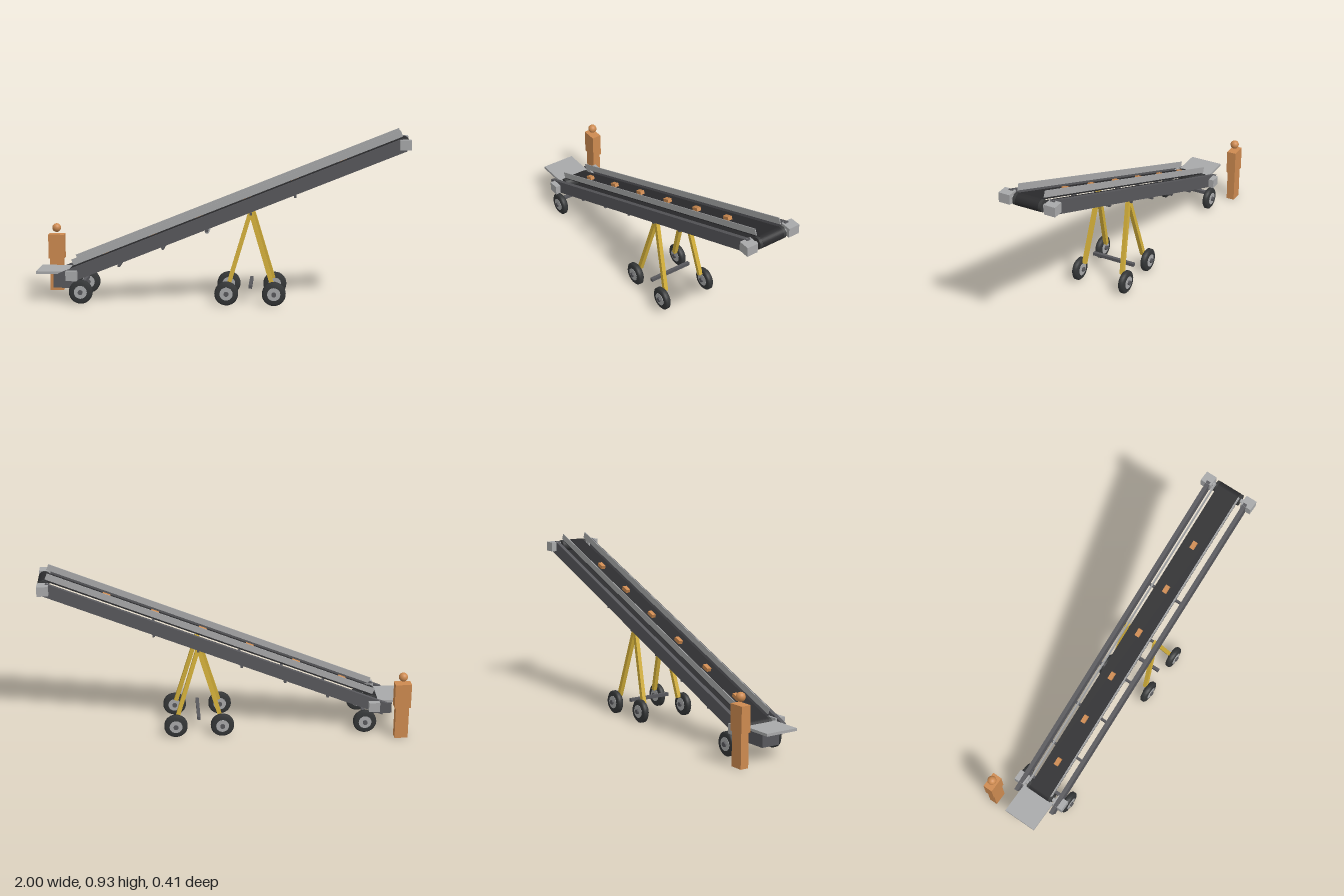
import * as THREE from 'three';

const CZ = 0.033; // centre line of the conveyor in z
const HEAD = new THREE.Vector2(0.965, 0.861);
const TAIL = new THREE.Vector2(-0.80, 0.149);

function material(name, color) {
  const m = new THREE.MeshStandardMaterial({ color });
  m.name = name;
  return m;
}

export function createModel() {
  const root = new THREE.Group();
  root.name = 'inclinedConveyor';
  const steel = material('darkSteel', 0x58585c);
  const light = material('lightSteel', 0xa8a9aa);
  const beltMat = material('beltRubber', 0x2c2c2e);
  const rollerMat = material('rollerRubber', 0x3a3b3c);
  const tyreMat = material('tyreRubber', 0x343637);
  const yellow = material('yellowPaint', 0xd4b03a);
  const orange = material('orange', 0xcd8a50);

  function add(parent, name, geometry, mat, x, y, z) {
    const mesh = new THREE.Mesh(geometry, mat);
    mesh.name = name;
    mesh.position.set(x, y, z);
    parent.add(mesh);
    return mesh;
  }
  const box = (parent, name, mat, w, h, d, x, y, z) =>
    add(parent, name, new THREE.BoxGeometry(w, h, d), mat, x, y, z);
  // Cylinder lying along z
  const rod = (parent, name, mat, r, len, x, y, z, sides = 24) =>
    add(parent, name, new THREE.CylinderGeometry(r, r, len, sides).rotateX(Math.PI / 2), mat, x, y, z);

  // Sloping frame: local x runs up the conveyor
  const frame = new THREE.Group();
  frame.name = 'slopingFrame';
  const mid = HEAD.clone().add(TAIL).multiplyScalar(0.5);
  frame.position.set(mid.x, mid.y, CZ);
  frame.rotation.z = HEAD.clone().sub(TAIL).angle();
  root.add(frame);
  const half = HEAD.distanceTo(TAIL) / 2;

  for (const s of [1, -1]) {
    box(frame, 'sideBeam', steel, 1.968, 0.07, 0.022, -0.035, 0, s * 0.116);
    box(frame, 'skirtBoard', light, 1.89, 0.034, 0.004, 0.012, 0.057, s * 0.0735);
  }

  // Belt: closed loop around both end rollers
  const loop = (path, r) => {
    path.absarc(half, 0, r, -Math.PI / 2, Math.PI / 2, false);
    path.absarc(-half, 0, r, Math.PI / 2, Math.PI * 1.5, false);
    path.closePath();
    return path;
  };
  const beltShape = loop(new THREE.Shape(), 0.0318);
  beltShape.holes.push(loop(new THREE.Path(), 0.027));
  const beltGeo = new THREE.ExtrudeGeometry(beltShape, { depth: 0.126, bevelEnabled: false, curveSegments: 16 });
  add(frame, 'belt', beltGeo, beltMat, 0, 0, -0.063);

  // Parcels riding on the belt
  for (let i = 0; i < 6; i++)
    box(frame, 'parcel', orange, 0.044, 0.02, 0.024, -0.757 + i * 0.275, 0.041, 0);

  // End rollers, shafts and bearing housings
  for (const p of [HEAD, TAIL]) {
    rod(root, 'endRoller', rollerMat, 0.031, 0.158, p.x, p.y, CZ, 32);
    rod(root, 'rollerShaft', light, 0.012, 0.21, p.x, p.y, CZ);
    for (const s of [1, -1])
      box(root, 'bearingHousing', light, 0.06, 0.052, 0.062, p.x, p.y, CZ + s * 0.126);
  }

  // Cross members below the frame, and the return roller
  for (let i = 0; i < 5; i++)
    box(root, 'crossMember', steel, 0.013, 0.013, 0.232, -0.547 + i * 0.235, 0.203 + i * 0.095, CZ);
  rod(root, 'returnRoller', light, 0.012, 0.126, -0.078, 0.383, CZ);

  // Loading end: chute box and feed table
  box(root, 'chuteBox', steel, 0.11, 0.088, 0.106, -0.858, 0.109, CZ);
  box(root, 'feedTable', light, 0.18, 0.014, 0.19, -0.91, 0.156, CZ);

  // Wheel: chamfered tyre with a pale disc and a protruding hub
  const tyreProfile = [[0.02, -0.017], [0.054, -0.017], [0.0635, -0.009],
    [0.0635, 0.009], [0.054, 0.017], [0.02, 0.017]].map(([r, y]) => new THREE.Vector2(r, y));
  function addWheel(x, z) {
    const wheel = new THREE.Group();
    wheel.name = 'wheel';
    wheel.position.set(x, 0.0635, z);
    const tyre = new THREE.LatheGeometry(tyreProfile, 28).rotateX(Math.PI / 2);
    add(wheel, 'tyre', tyre, tyreMat, 0, 0, 0);
    rod(wheel, 'wheelDisc', light, 0.035, 0.038, 0, 0, 0);
    rod(wheel, 'hub', steel, 0.013, 0.056, 0, 0, 0, 16);
    root.add(wheel);
  }
  for (const s of [1, -1])
    for (const x of [-0.75, 0.03, 0.283]) addWheel(x, CZ + s * 0.142);

  // Yellow A-frame legs
  function addLeg(top, bottom) {
    const dir = top.clone().sub(bottom);
    const c = top.clone().add(bottom).multiplyScalar(0.5);
    const leg = box(root, 'supportLeg', yellow, 0.022, dir.length(), 0.022, c.x, c.y, c.z);
    leg.quaternion.setFromUnitVectors(new THREE.Vector3(0, 1, 0), dir.normalize());
  }
  for (const s of [1, -1])
    for (const e of [1, -1])
      addLeg(new THREE.Vector3(0.157, 0.497, CZ + s * 0.091),
        new THREE.Vector3(0.157 + e * 0.118, 0.1, CZ + s * 0.116));

  // Tie bar between the legs, and the tail axle
  box(root, 'legTieBar', steel, 0.018, 0.018, 0.25, 0.157, 0.096, CZ);
  box(root, 'tailAxle', steel, 0.018, 0.018, 0.25, -0.75, 0.095, CZ);

  // Operator beside the loading end
  const operator = new THREE.Group();
  operator.name = 'operator';
  operator.position.set(-0.938, 0, -0.178);
  root.add(operator);
  box(operator, 'legs', orange, 0.072, 0.18, 0.046, 0, 0.09, 0);
  box(operator, 'torso', orange, 0.088, 0.136, 0.054, 0, 0.248, 0);
  add(operator, 'head', new THREE.SphereGeometry(0.0245, 24, 16), orange, 0, 0.352, 0);

  return root;
}
